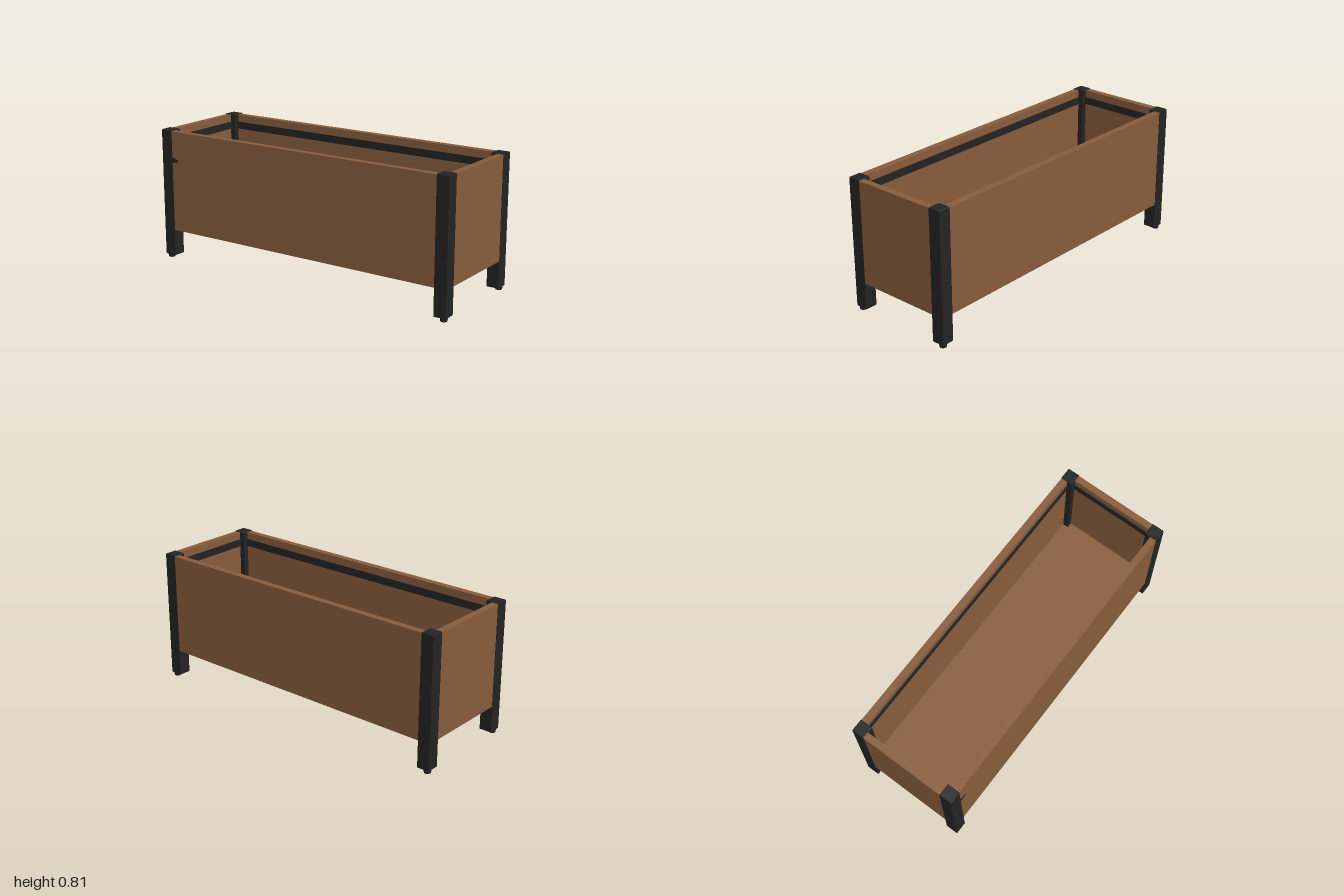
import * as THREE from 'three';

const wood = new THREE.MeshStandardMaterial({ color: 0x8a5e3d });
wood.name = 'brown wood';
const black = new THREE.MeshStandardMaterial({ color: 0x242424 });
black.name = 'black metal';

const HX = 1, HZ = 0.338;           // half length and half depth
const POST = 0.076, WALL = 0.042;   // post width and wall thickness
const BASE = 0.184, TOP = 0.805;    // wall bottom and top

// Box given by its minimum and maximum corners
function box(parent, name, material, [x0, y0, z0], [x1, y1, z1]) {
  const mesh = new THREE.Mesh(new THREE.BoxGeometry(x1 - x0, y1 - y0, z1 - z0), material);
  mesh.position.set((x0 + x1) / 2, (y0 + y1) / 2, (z0 + z1) / 2);
  mesh.name = name;
  parent.add(mesh);
  return mesh;
}

// Square corner post with a slightly bevelled outline and a round foot
function cornerPost(sx, sz) {
  const post = new THREE.Group();
  post.name = 'cornerPost';
  const b = 0.003, h = POST / 2 - b;
  const shape = new THREE.Shape([[-h, -h], [h, -h], [h, h], [-h, h]].map(p => new THREE.Vector2(...p)));
  const geometry = new THREE.ExtrudeGeometry(shape, {
    depth: 0.79 - 2 * b, bevelEnabled: true, bevelSize: b, bevelThickness: b, bevelSegments: 1,
  });
  geometry.rotateX(-Math.PI / 2).translate(0, 0.02 + b, 0);
  const column = new THREE.Mesh(geometry, black);
  column.name = 'postColumn';
  column.position.set(sx * (HX - POST / 2), 0, sz * (HZ - POST / 2));
  const foot = new THREE.Mesh(new THREE.CylinderGeometry(0.023, 0.019, 0.021, 20), black);
  foot.name = 'foot';
  foot.position.set(sx * (HX - 0.024), 0.0105, sz * (HZ - 0.024));
  post.add(column, foot);
  return post;
}

export function createModel() {
  const planter = new THREE.Group();
  planter.name = 'planterBox';

  for (const sx of [-1, 1]) for (const sz of [-1, 1]) planter.add(cornerPost(sx, sz));

  const ox = HX - 0.002, oz = HZ - 0.002;   // outer wall faces
  const ix = HX - WALL, iz = HZ - WALL;     // inner wall faces
  const px = HX - POST, pz = HZ - POST;     // inner post faces
  const span = (s, a, b) => (s > 0 ? [a, b] : [-b, -a]);

  for (const s of [-1, 1]) {
    // Walls between the posts
    const [z0, z1] = span(s, iz, oz);
    box(planter, 'longWall', wood, [-px, BASE, z0], [px, TOP, z1]);
    const [x0, x1] = span(s, ix, ox);
    box(planter, 'endWall', wood, [x0, BASE, -pz], [x1, TOP, pz]);

    // Liner edging strips inside the rim
    const [lz0, lz1] = span(s, iz - 0.006, iz);
    box(planter, 'longLinerStrip', black, [-px, 0.715, lz0], [px, 0.76, lz1]);
    const [lx0, lx1] = span(s, ix - 0.006, ix);
    box(planter, 'endLinerStrip', black, [lx0, 0.715, -pz], [lx1, 0.76, pz]);

    // Rails that carry the floor
    const [rz0, rz1] = span(s, iz - 0.025, iz);
    box(planter, 'longRail', wood, [-px, BASE, rz0], [px, 0.225, rz1]);
    const [rx0, rx1] = span(s, ix - 0.025, ix);
    box(planter, 'endRail', wood, [rx0, BASE, -pz], [rx1, 0.225, pz]);
  }

  // Floor panel and the battens under it
  box(planter, 'floor', wood, [-ix, 0.225, -iz], [ix, 0.245, iz]);
  for (let i = -2; i <= 2; i++) {
    const x = i * 0.415;
    box(planter, 'floorBatten', wood, [x - 0.022, BASE, 0.025 - iz], [x + 0.022, 0.225, iz - 0.025]);
  }

  // Small dark tab beside the front right post
  box(planter, 'frontTab', black, [-px, 0.612, oz - 0.002], [-0.9, 0.64, oz + 0.003]);
  box(planter, 'frontTabTip', black, [-0.9, 0.617, oz - 0.002], [-0.88, 0.633, oz + 0.003]);

  return planter;
}
